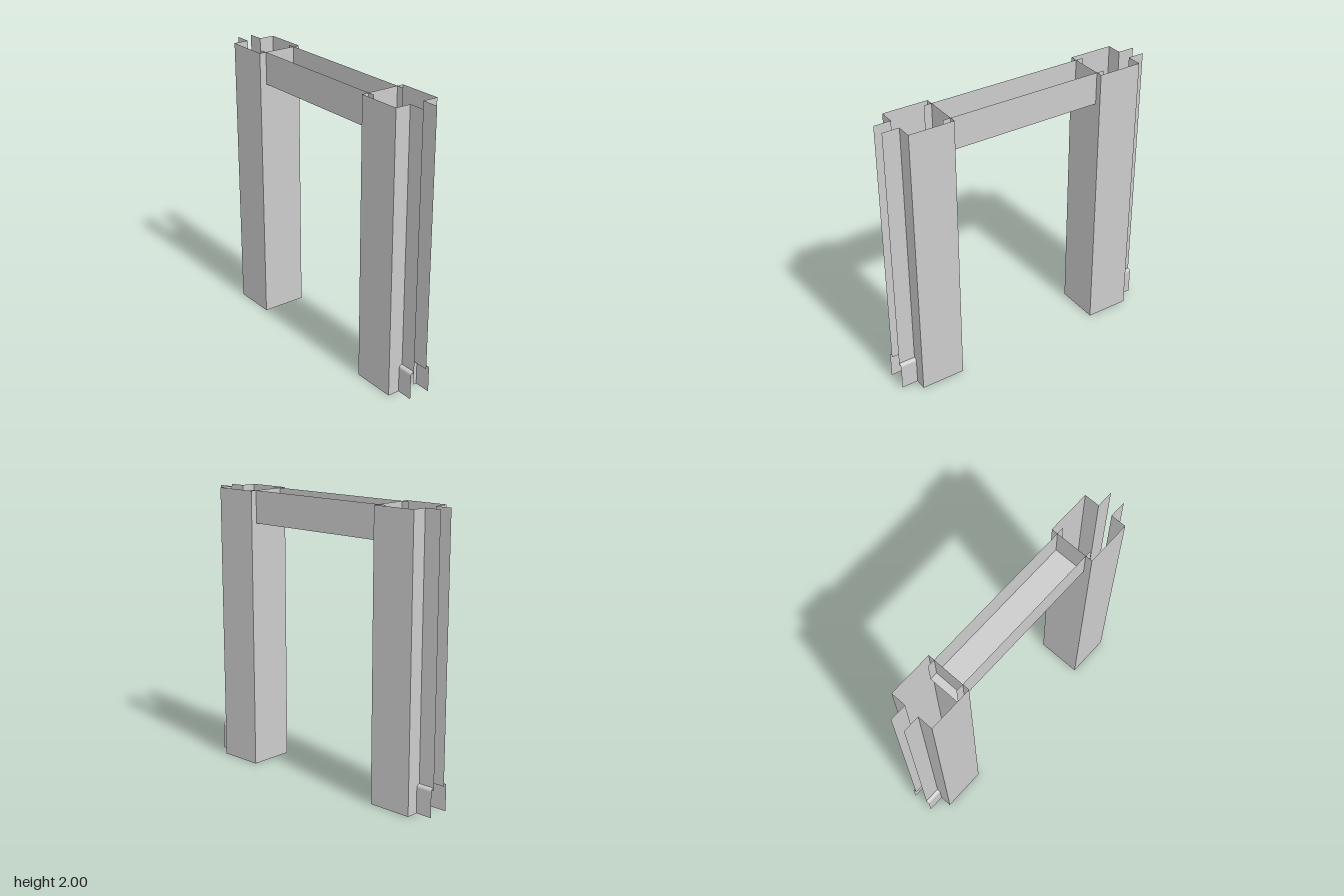
import * as THREE from 'three';

const material = new THREE.MeshStandardMaterial({ color: 0xcccccc, side: THREE.DoubleSide });

// Thin folded sheet: a strip of flat quads between two matching 3D edge paths
function sheet(name, edgeA, edgeB) {
  const pos = [];
  for (let i = 0; i < edgeA.length - 1; i++) {
    const a = edgeA[i], b = edgeA[i + 1], c = edgeB[i + 1], d = edgeB[i];
    pos.push(...a, ...b, ...c, ...a, ...c, ...d);
  }
  const geometry = new THREE.BufferGeometry();
  geometry.setAttribute('position', new THREE.Float32BufferAttribute(pos, 3));
  geometry.computeVertexNormals();
  const mesh = new THREE.Mesh(geometry, material);
  mesh.name = name;
  return mesh;
}

// Fold [x, z] points along y, or [z, y] points along x
const alongY = (name, pts, y0, y1) =>
  sheet(name, pts.map(([x, z]) => [x, y0, z]), pts.map(([x, z]) => [x, y1, z]));
const alongX = (name, pts, x0, x1) =>
  sheet(name, pts.map(([z, y]) => [x0, y, z]), pts.map(([z, y]) => [x1, y, z]));

const HEIGHT = 2, INNER = 0.56, OUTER = 0.88, TIP = 1;
const DEPTH = 0.163, SLOT = 0.053, STEP = 0.025, CLIP_TOP = 0.2;

function createPost(side, name) {
  const post = new THREE.Group();
  post.name = name;

  // Open tube with a slot down its outer side
  const outer = OUTER * side, inner = INNER * side;
  post.add(alongY('postShell', [
    [outer, SLOT], [outer, DEPTH], [inner, DEPTH],
    [inner, -DEPTH], [outer, -DEPTH], [outer, -SLOT],
  ], 0, HEIGHT));

  for (const s of [1, -1]) {
    const label = s > 0 ? 'front' : 'back';
    // Flange standing out from the slot edge
    post.add(alongY(label + 'Flange', [[outer, SLOT * s], [TIP * side, SLOT * s]], CLIP_TOP - 0.02, HEIGHT));
    // Stepped clip at the foot of the flange
    const clip = [[SLOT * s, CLIP_TOP]];
    for (let i = 0; i <= 4; i++) {
      const t = (i / 4) * Math.PI / 2;
      clip.push([(SLOT + STEP * Math.sin(t)) * s, CLIP_TOP - 0.02 * (1 - Math.cos(t))]);
    }
    clip.push([(SLOT + STEP) * s, 0]);
    post.add(alongX(label + 'Clip', clip.slice(1), 0.87 * side, TIP * side));
  }
  return post;
}

export function createModel() {
  const model = new THREE.Group();
  model.name = 'doorFrame';
  model.add(createPost(1, 'leftPost'), createPost(-1, 'rightPost'));

  // Header: open-topped channel reaching into both posts
  model.add(alongX('headerChannel', [
    [0.113, HEIGHT], [0.113, 1.77], [-0.118, 1.77], [-0.118, HEIGHT],
  ], -0.615, 0.615));
  return model;
}
